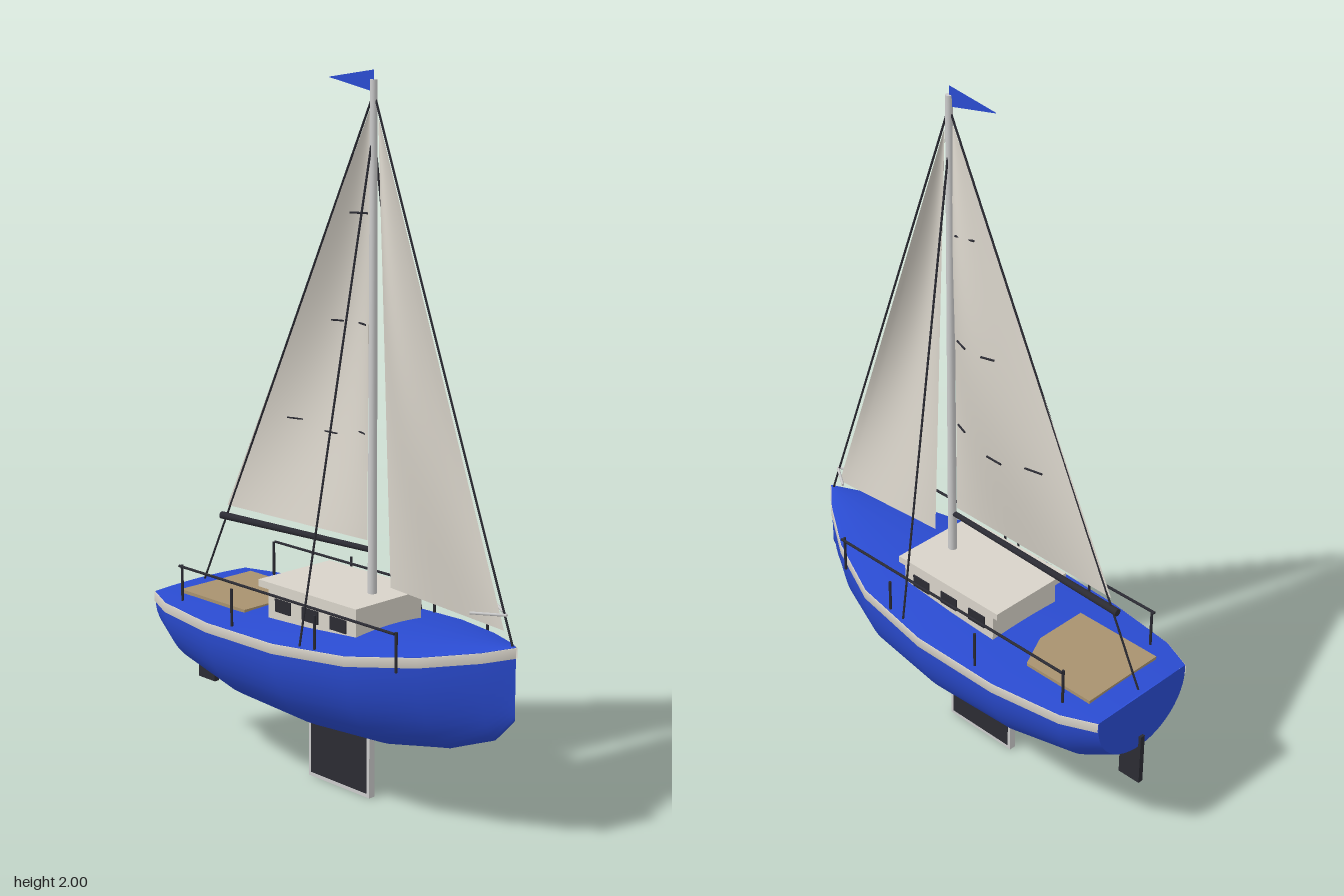
import * as THREE from 'three';

const mat = (color) => new THREE.MeshStandardMaterial({ color, side: THREE.DoubleSide });
const BLUE = mat(0x2a4bd0), CREAM = mat(0xd8d3c9), DARK = mat(0x2b2b33), WOOD = mat(0xa8926f), GREY = mat(0xcccccc);
const V = (x, y, z) => new THREE.Vector3(x, y, z);

// Hull stations: x, half beam, sheer height, bottom height, deck crown
const STATIONS = [
  [-0.62, 0.175, 0.478, 0.30, 0.006],
  [-0.52, 0.218, 0.475, 0.245, 0.01],
  [-0.30, 0.25, 0.473, 0.20, 0.012],
  [-0.02, 0.256, 0.48, 0.187, 0.02],
  [0.23, 0.225, 0.498, 0.20, 0.027],
  [0.42, 0.147, 0.522, 0.237, 0.02],
  [0.56, 0.058, 0.548, 0.295, 0.01],
  [0.627, 0, 0.565, 0.365, 0],
];

export function createModel() {
  const boat = new THREE.Group();
  boat.name = 'sailboat';

  function add(name, geometry, material, x = 0, y = 0, z = 0) {
    const mesh = new THREE.Mesh(geometry, material);
    mesh.name = name;
    mesh.position.set(x, y, z);
    boat.add(mesh);
    return mesh;
  }

  function box(name, material, x0, x1, y0, y1, z0, z1) {
    return add(name, new THREE.BoxGeometry(x1 - x0, y1 - y0, z1 - z0), material,
      (x0 + x1) / 2, (y0 + y1) / 2, (z0 + z1) / 2);
  }

  // Straight round bar between two points
  function rod(name, a, b, r0, material = DARK, r1 = r0, sides = 8) {
    const d = b.clone().sub(a);
    const mesh = add(name, new THREE.CylinderGeometry(r1, r0, d.length(), sides), material);
    mesh.position.copy(a).add(b).multiplyScalar(0.5);
    mesh.quaternion.setFromUnitVectors(V(0, 1, 0), d.normalize());
    return mesh;
  }

  // Smooth skin over equally long rows of points
  function loft(rows) {
    const n = rows[0].length, index = [];
    for (let i = 0; i < rows.length - 1; i++) {
      for (let j = 0; j < n - 1; j++) {
        const a = i * n + j, b = a + n;
        index.push(a, b, a + 1, b, b + 1, a + 1);
      }
    }
    const g = new THREE.BufferGeometry().setFromPoints(rows.flat());
    g.setIndex(index);
    g.computeVertexNormals();
    return g;
  }

  // Hull, transom and deck
  const steps = [...Array(25).keys()].map((i) => i / 24);
  const section = ([x, w, top, low]) => steps.map((t) =>
    V(x, top - 0.02 - (top - 0.02 - low) * Math.sin(t * Math.PI), w * Math.cos(t * Math.PI)));
  const hullRows = STATIONS.map((s) => [V(s[0], s[2], s[1]), ...section(s), V(s[0], s[2], -s[1])]);
  add('hull', loft(hullRows), BLUE);
  add('transom', loft([hullRows[0].map(() => V(-0.62, 0.44, 0)), hullRows[0]]), BLUE);
  add('transomTop', loft([[V(-0.62, 0.44, 0), V(-0.62, 0.478, 0.175)], [V(-0.62, 0.44, 0), V(-0.62, 0.478, -0.175)]]), BLUE);
  add('deck', loft(STATIONS.map(([x, w, top, , crown]) => steps.map((t) => {
    const s = 1 - 2 * t;
    return V(x, top + crown * (1 - s * s), w * s);
  }))), BLUE);

  // Light band below the deck edge on both sides
  for (const side of [1, -1]) {
    add('rubbingStrake', loft(STATIONS.map(([x, w, top]) => [
      V(x, top - 0.001, side * w),
      V(x + (w ? 0 : 0.002), top - 0.002, side * (w + 0.003)),
      V(x + (w ? 0 : 0.002), top - 0.029, side * (w + 0.003)),
      V(x, top - 0.03, side * w * 0.98),
    ])), CREAM);
  }

  // Keel and rudder
  box('keel', GREY, -0.14, 0.105, 0, 0.22, -0.01, 0.01);
  for (const s of [1, -1]) {
    box('keelSide', DARK, -0.13, 0.094, 0.012, 0.22, s * 0.011 - 0.001, s * 0.011 + 0.001);
  }
  box('rudder', DARK, -0.628, -0.555, 0.175, 0.335, -0.008, 0.008);

  // Cockpit floor
  const floor = new THREE.Shape([[-0.55, -0.135], [-0.27, -0.135], [-0.27, 0.03], [-0.32, 0.135], [-0.55, 0.135]]
    .map(([x, y]) => new THREE.Vector2(x, y)));
  const floorGeo = new THREE.ExtrudeGeometry(floor, { depth: 0.02, bevelEnabled: false }).rotateX(-Math.PI / 2);
  add('cockpitFloor', floorGeo, WOOD, 0, 0.471, 0);

  // Cabin with roof and windows
  box('cabin', CREAM, -0.18, 0.17, 0.46, 0.58, -0.125, 0.125);
  box('cabinRoof', CREAM, -0.208, 0.182, 0.575, 0.595, -0.137, 0.137);
  for (const s of [1, -1]) {
    for (const x of [-0.118, -0.008, 0.102]) {
      box('window', DARK, x - 0.031, x + 0.031, 0.513, 0.55, s * 0.126 - 0.003, s * 0.126 + 0.003);
    }
  }

  // Mast, boom and pennant
  rod('mast', V(0.105, 0.49, 0), V(0.105, 1.975, 0), 0.013, GREY, 0.01, 16);
  rod('boom', V(-0.52, 0.695, 0), V(0.1, 0.716, 0), 0.011, DARK, 0.008, 12);
  add('pennant', loft([[V(0.105, 2, 0), V(0.105, 1.943, 0)], [V(-0.06, 1.976, 0), V(-0.06, 1.974, 0)]]), BLUE);

  // Three-cornered sail with a belly
  const sailPoint = (tack, clew, head, belly) => (u, v) => {
    const p = tack.clone().lerp(clew, u).lerp(head, v);
    p.z += belly * Math.sin(Math.PI * Math.pow(u, 0.85)) * Math.sin(Math.PI * v);
    return p;
  };
  function sail(name, point) {
    const rows = steps.map((v) => steps.map((u) => point(u, v * 0.995)));
    add(name, loft(rows), CREAM);
  }
  const main = sailPoint(V(0.085, 0.74, 0), V(-0.495, 0.73, 0), V(0.092, 1.9, 0), -0.065);
  const jib = sailPoint(V(0.585, 0.6, 0), V(0.175, 0.625, 0), V(0.122, 1.88, 0), 0.056);
  sail('mainsail', main);
  sail('jib', jib);

  // Short battens on the mainsail: height, start, end
  for (const [v, a, b] of [[0.76, 0.35, 0.75], [0.5, 0.2, 0.35], [0.5, 0.55, 0.68], [0.25, 0.05, 0.14], [0.23, 0.36, 0.48], [0.25, 0.68, 0.8]]) {
    const p = main(a, v), q = main(b, v);
    p.z -= 0.002;
    q.z -= 0.002;
    rod('batten', p, q, 0.003);
  }

  // Standing rigging
  rod('forestay', V(0.615, 0.565, 0), V(0.11, 1.93, 0), 0.003);
  rod('backstay', V(-0.605, 0.48, 0), V(0.1, 1.93, 0), 0.003);

  // Shrouds, guard rails and posts on both sides
  for (const s of [1, -1]) {
    rod('shroud', V(0.065, 0.48, s * 0.235), V(0.105, 1.85, 0), 0.003);
    rod('guardRail', V(-0.495, 0.583, s * 0.185), V(0.372, 0.583, s * 0.185), 0.004);
    for (const [x, z] of [[-0.492, 0.177], [-0.215, 0.23], [0.12, 0.23], [0.37, 0.175]]) {
      rod('railPost', V(x, 0.475, s * z), V(x, 0.585, s * z), 0.004);
    }
    rod('bowPulpit', V(0.512, 0.643, s * 0.052), V(0.592, 0.643, 0), 0.004, GREY);
  }

  return boat;
}
